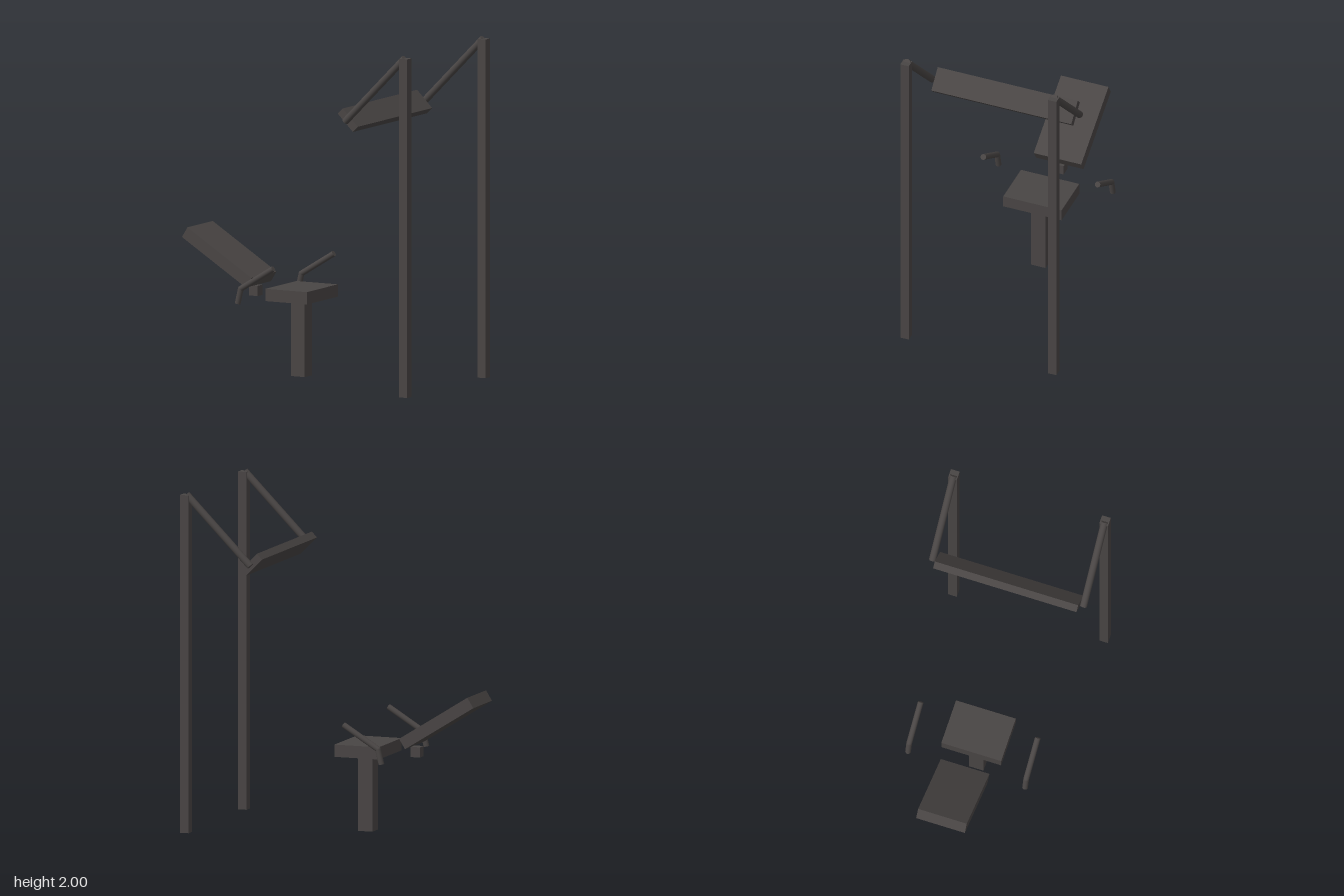
import * as THREE from 'three';

const MID = -0.111; // centre plane shared by seat and overhead frame

export function createModel() {
  const model = new THREE.Group();
  model.name = 'reclinerWithOverheadFrame';
  const charcoal = new THREE.MeshStandardMaterial({ color: 0x494544 });
  charcoal.name = 'charcoal';

  const add = (name, geometry, x, y, z, tilt = 0, parent = model) => {
    const mesh = new THREE.Mesh(geometry, charcoal);
    mesh.name = name;
    mesh.position.set(x, y, z);
    mesh.rotation.z = tilt;
    parent.add(mesh);
    return mesh;
  };
  const box = (name, w, h, d, x, y, z, tilt) =>
    add(name, new THREE.BoxGeometry(w, h, d), x, y, z, tilt);

  // Round bar between two points lying in a plane of constant z
  const bar = (name, [x1, y1], [x2, y2], z, r, parent) =>
    add(name, new THREE.CylinderGeometry(r, r, Math.hypot(x2 - x1, y2 - y1), 16),
      (x1 + x2) / 2, (y1 + y2) / 2, z, Math.atan2(x1 - x2, y2 - y1), parent);

  // Chair: pedestal, seat, reclined back and its small support block
  box('pedestal', 0.09, 0.45, 0.09, -0.237, 0.225, MID);
  box('seat', 0.276, 0.072, 0.365, -0.237, 0.486, MID);
  box('backrest', 0.502, 0.07, 0.297, -0.72, 0.677, MID, -THREE.MathUtils.degToRad(32));
  box('backrestBlock', 0.058, 0.06, 0.058, -0.543, 0.48, MID);

  for (const [side, s] of [['right', -1], ['left', 1]]) {
    // Bent armrest
    const armrest = new THREE.Group();
    armrest.name = side + 'Armrest';
    model.add(armrest);
    const z = MID + s * 0.357, elbow = [-0.44, 0.54];
    bar('armrestPost', [-0.461, 0.452], elbow, z, 0.017, armrest);
    bar('armrestBar', elbow, [-0.224, 0.672], z, 0.017, armrest);
    add('armrestElbow', new THREE.SphereGeometry(0.017, 16, 10), ...elbow, z, 0, armrest);

    // Overhead frame: upright and sloping arm
    const fz = MID + s * 0.461;
    box(side + 'Upright', 0.053, 1.985, 0.053, 0.717, 0.9925, fz);
    bar(side + 'OverheadArm', [0.315, 1.587], [0.712, 1.985], fz, 0.021);
  }

  // Tilted panel carried between the arms
  box('overheadPanel', 0.142, 0.046, 0.875, 0.319, 1.592, MID, -Math.PI / 4);

  // The whole set stands turned on the floor
  model.rotation.y = -THREE.MathUtils.degToRad(20);
  const root = new THREE.Group();
  root.name = 'model';
  root.add(model);
  return root;
}
